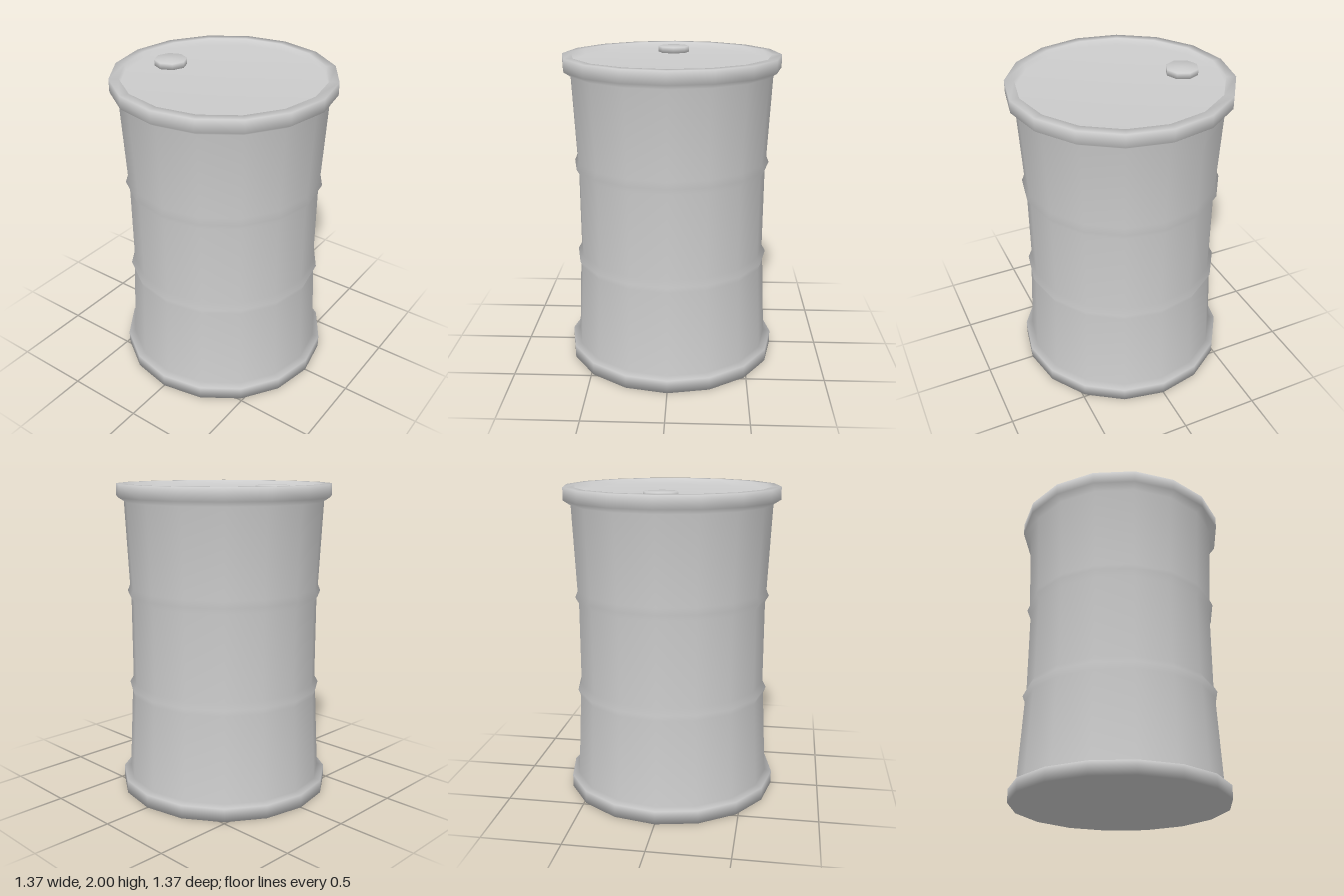
import * as THREE from 'three';

const material = new THREE.MeshStandardMaterial({ color: 0xcccccc });

// Smooth low-poly turned part from [radius, height] pairs, listed bottom to top
function turned(name, profile, sides) {
  const points = profile.map(([r, y]) => new THREE.Vector2(r, y));
  const mesh = new THREE.Mesh(new THREE.LatheGeometry(points, sides), material);
  mesh.name = name;
  return mesh;
}

export function createModel() {
  const group = new THREE.Group();
  group.name = 'drum';

  // Rolling hoop pressed into the wall around height y
  const hoop = (y, below, above) => [[below, y - 0.04], [0.631, y], [above, y + 0.04]];

  // Closed shell: base, bottom rim, waisted wall with two hoops, top rim, recessed lid
  group.add(turned('drumBody', [
    [0, 0], [0.687, 0], [0.687, 0.085], [0.642, 0.095],
    ...hoop(0.69, 0.615, 0.608),
    ...hoop(1.31, 0.608, 0.615),
    [0.64, 1.89], [0.687, 1.92], [0.687, 2], [0.628, 2], [0.625, 1.96], [0, 1.96],
  ], 16));

  // Filler cap on the lid
  const cap = turned('fillerCap', [[0, 1.955], [0.103, 1.955], [0.103, 1.998], [0, 1.998]], 8);
  cap.position.x = -0.413;
  group.add(cap);

  return group;
}
